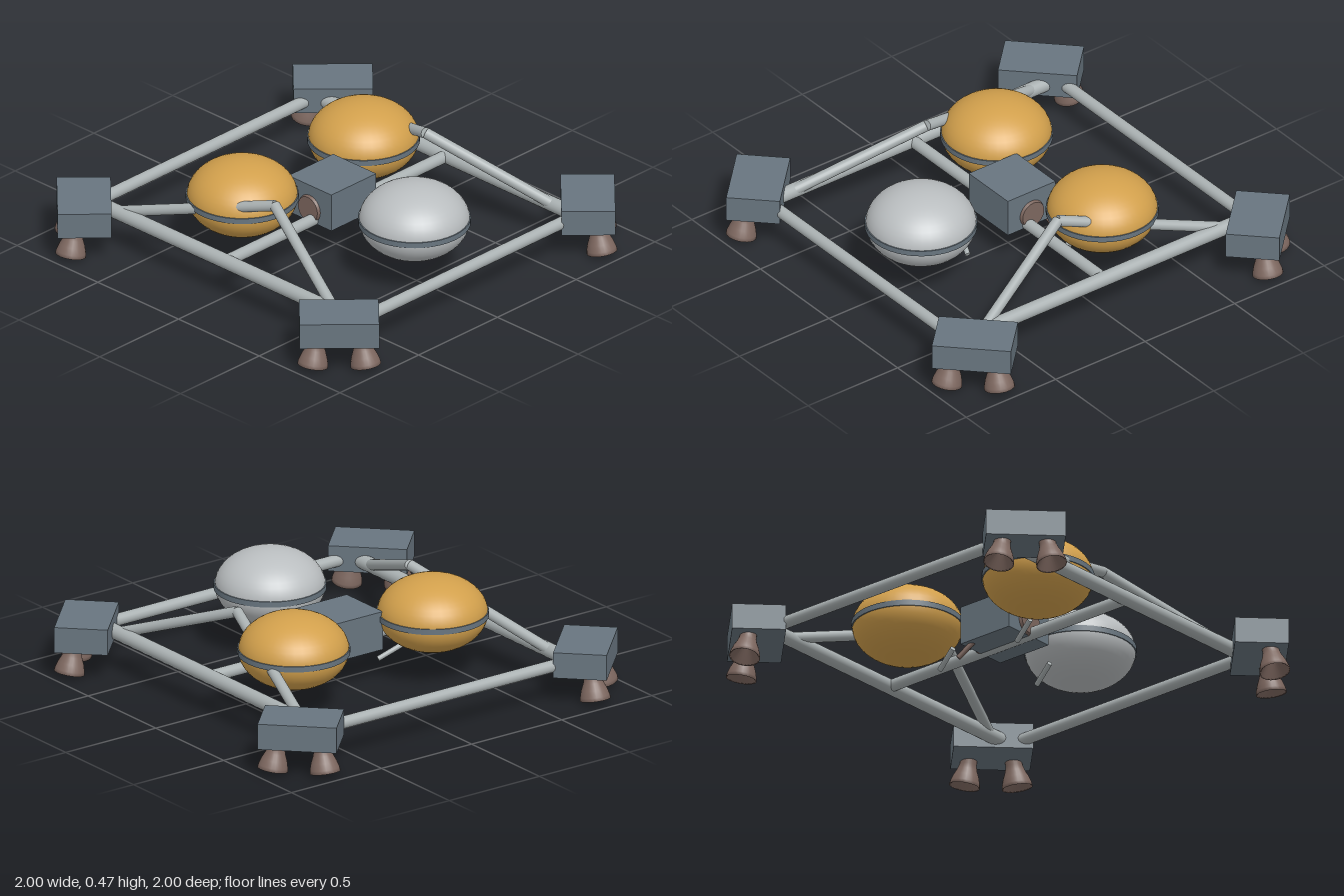
import * as THREE from 'three';

const paint = (name, color, side = THREE.FrontSide) => {
  const m = new THREE.MeshStandardMaterial({ color, side });
  m.name = name;
  return m;
};

export function createModel() {
  const slate = paint('slate', 0x68757f);
  const tubeGrey = paint('tubeGrey', 0xaab1b2);
  const silver = paint('silver', 0xbabec0);
  const amber = paint('amber', 0xd2a04c);
  const bronze = paint('bronze', 0x7d675f, THREE.DoubleSide);
  const model = new THREE.Group();
  model.name = 'descentStage';

  const add = (parent, name, geometry, material, x = 0, y = 0, z = 0) => {
    const mesh = new THREE.Mesh(geometry, material);
    mesh.name = name;
    mesh.position.set(x, y, z);
    parent.add(mesh);
    return mesh;
  };

  // Straight round bar between two points
  const bar = (name, a, b, radius, material = tubeGrey) => {
    const from = new THREE.Vector3(...a), to = new THREE.Vector3(...b);
    const dir = to.clone().sub(from);
    const mesh = add(model, name, new THREE.CylinderGeometry(radius, radius, dir.length(), 20), material);
    mesh.position.copy(from).add(to).multiplyScalar(0.5);
    mesh.quaternion.setFromUnitVectors(new THREE.Vector3(0, 1, 0), dir.normalize());
  };

  // Frame rails and bent braces
  const railY = 0.178;
  for (const s of [-1, 1]) {
    bar('sideRail', [s * 0.70, railY, -0.75], [s * 0.70, railY, 0.75], 0.034);
    bar('endRail', [-0.7, railY, s * 0.81], [0.7, railY, s * 0.81], 0.028);
    const knee = [s * 0.48, 0.408, 0.09];
    bar('frontBrace', [s * 0.70, railY, 0.68], knee, 0.025);
    bar('rearBrace', [s * 0.70, railY, -0.68], knee, 0.025);
  }
  bar('crossRail', [-0.7, railY, 0], [0.7, railY, 0], 0.028);

  // Thruster bell, hanging down from its origin
  const bell = new THREE.LatheGeometry([
    [0, -0.02], [0.062, -0.118], [0.069, -0.122], [0.067, -0.105], [0.058, -0.075],
    [0.045, -0.045], [0.038, -0.02], [0.037, 0.02],
  ].map(([r, y]) => new THREE.Vector2(r, y)), 24);

  // Corner pods, each with two splayed bells
  for (const sx of [-1, 1]) for (const sz of [-1, 1]) {
    const pod = new THREE.Group();
    pod.name = 'cornerPod';
    model.add(pod);
    const block = add(pod, 'podBlock', new THREE.BoxGeometry(0.354, 0.12, 0.24), slate, sx * 0.79, 0.19, sz * 0.79);
    block.rotation.y = sx * sz * Math.PI / 4;
    const sideBell = add(pod, 'sideBell', bell, bronze, sx * 0.89, 0.136, sz * 0.75);
    sideBell.rotation.z = sx * 0.22;
    const endBell = add(pod, 'endBell', bell, bronze, sx * 0.75, 0.136, sz * 0.89);
    endBell.rotation.x = -sz * 0.22;
  }

  // Flattened tanks with a belt around the middle
  for (const [name, x, z, material] of [
    ['frontTank', 0, 0.486, silver],
    ['rightTank', -0.37, -0.22, amber],
    ['leftTank', 0.40, -0.22, amber],
  ]) {
    const tank = add(model, name, new THREE.SphereGeometry(0.247, 40, 24), material, x, 0.305, z);
    tank.scale.y = 0.17 / 0.247;
    add(model, name + 'Belt', new THREE.CylinderGeometry(0.251, 0.251, 0.026, 40), slate, x, 0.304, z);
  }

  // Central equipment box with round side flanges
  add(model, 'equipmentBox', new THREE.BoxGeometry(0.285, 0.18, 0.266), slate, 0, 0.25, -0.023);
  for (const s of [-1, 1]) {
    const flange = add(model, 'boxFlange', new THREE.CylinderGeometry(0.06, 0.066, 0.016, 28), bronze, s * 0.148, 0.225, -0.023);
    flange.rotation.z = -s * Math.PI / 2;
  }

  // Drain pipes under the tanks and box
  for (const [x, z] of [[0, 0.26], [-0.235, -0.14], [0.22, -0.14]])
    bar('drainPipe', [x - 0.025, 0.157, z - 0.008], [x + 0.085, 0.1, z + 0.03], 0.012);
  bar('boxDrain', [0.09, 0.18, -0.115], [0.162, 0.1, -0.15], 0.012, bronze);

  return model;
}
